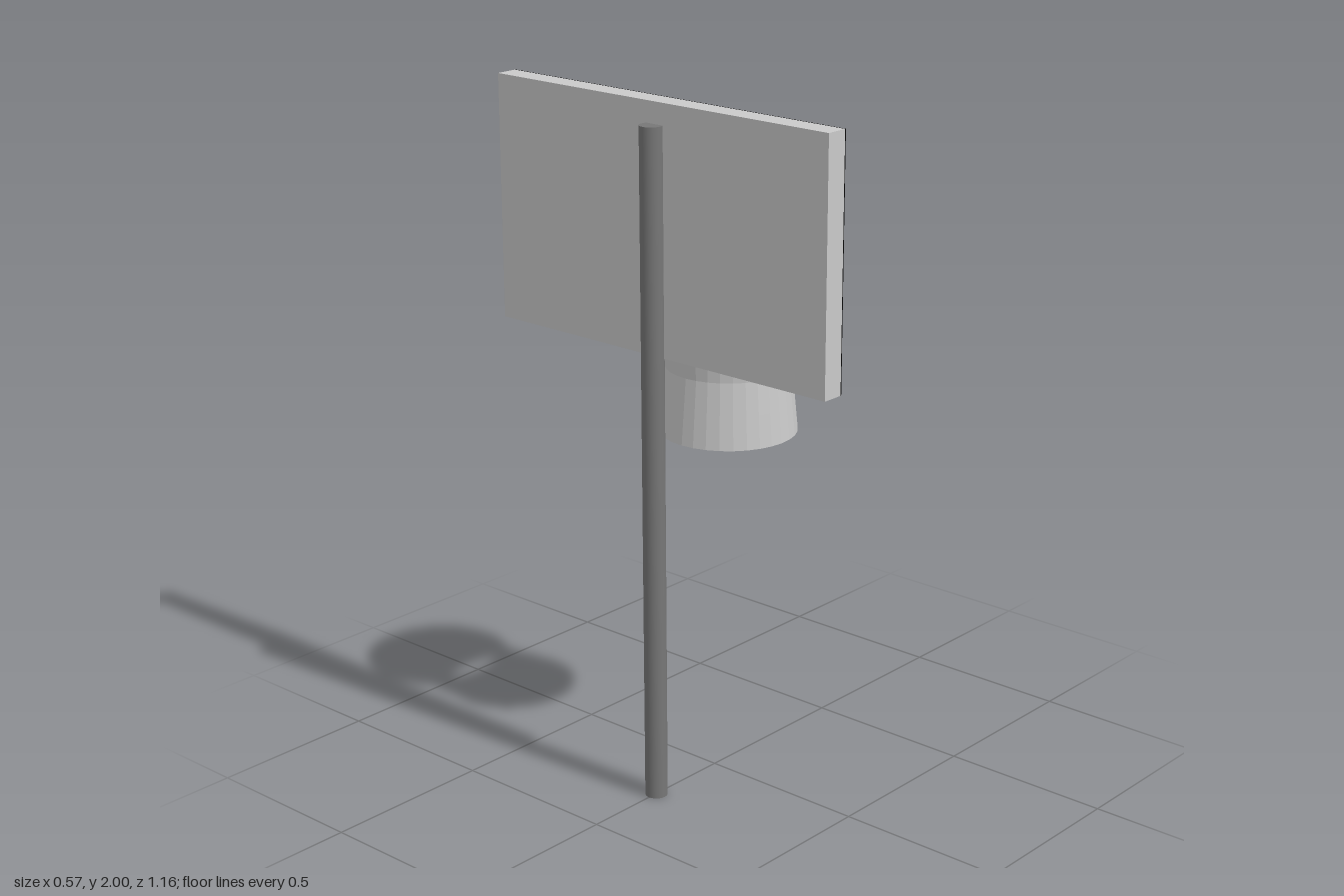
import * as THREE from 'three';

const mat = (name, color, extra = {}) => new THREE.MeshStandardMaterial({ name, color, ...extra });

export function createModel() {
  const metal = mat('dark grey metal', 0x777777);
  const panel = mat('light grey panel', 0xcacaca);
  const black = mat('black paint', 0x0a0a0a);
  const netting = mat('light grey net', 0xcacaca, { side: THREE.DoubleSide, flatShading: true });

  const model = new THREE.Group();
  model.name = 'basketballHoop';
  const add = (name, geometry, material, x, y, z = 0) => {
    const mesh = new THREE.Mesh(geometry, material);
    mesh.name = name;
    mesh.position.set(x, y, z);
    model.add(mesh);
    return mesh;
  };

  // Post behind the backboard
  add('pole', new THREE.CylinderGeometry(0.032, 0.032, 1.94, 24), metal, -0.252, 0.97);

  // Backboard, facing +x
  const faceX = -0.174;
  add('backboard', new THREE.BoxGeometry(0.064, 0.695, 1.163), panel, -0.206, 1.6525);

  // Painted rectangles: outer and inner bounds as [zMin, zMax, yMin, yMax], inner corners clipped
  const paintedFrame = (name, [z0, z1, y0, y1], [a0, a1, b0, b1], clip) => {
    const shape = new THREE.Shape();
    shape.moveTo(-z0, y0).lineTo(-z1, y0).lineTo(-z1, y1).lineTo(-z0, y1).closePath();
    const hole = new THREE.Path();
    hole.moveTo(-a0 - clip, b0).lineTo(-a1 + clip, b0).lineTo(-a1, b0 + clip).lineTo(-a1, b1 - clip)
      .lineTo(-a1 + clip, b1).lineTo(-a0 - clip, b1).lineTo(-a0, b1 - clip).lineTo(-a0, b0 + clip).closePath();
    shape.holes.push(hole);
    const geometry = new THREE.ExtrudeGeometry(shape, { depth: 0.003, bevelEnabled: false });
    geometry.rotateY(Math.PI / 2);
    add(name, geometry, black, faceX, 0);
  };
  paintedFrame('boardBorder', [-0.5815, 0.5815, 1.305, 2], [-0.537, 0.551, 1.332, 1.972], 0.012);
  paintedFrame('targetSquare', [-0.216, 0.226, 1.402, 1.68], [-0.196, 0.207, 1.416, 1.665], 0.01);

  // Rim
  const rim = new THREE.TorusGeometry(0.207, 0.0175, 12, 48);
  rim.rotateX(Math.PI / 2);
  add('rim', rim, metal, 0.058, 1.409);

  // Open net, pinched at the waist
  const profile = [[0.196, 1.025], [0.187, 1.12], [0.178, 1.214], [0.185, 1.3], [0.199, 1.405]];
  add('net', new THREE.LatheGeometry(profile.map(([r, y]) => new THREE.Vector2(r, y)), 32), netting, 0.058, 0);

  return model;
}
